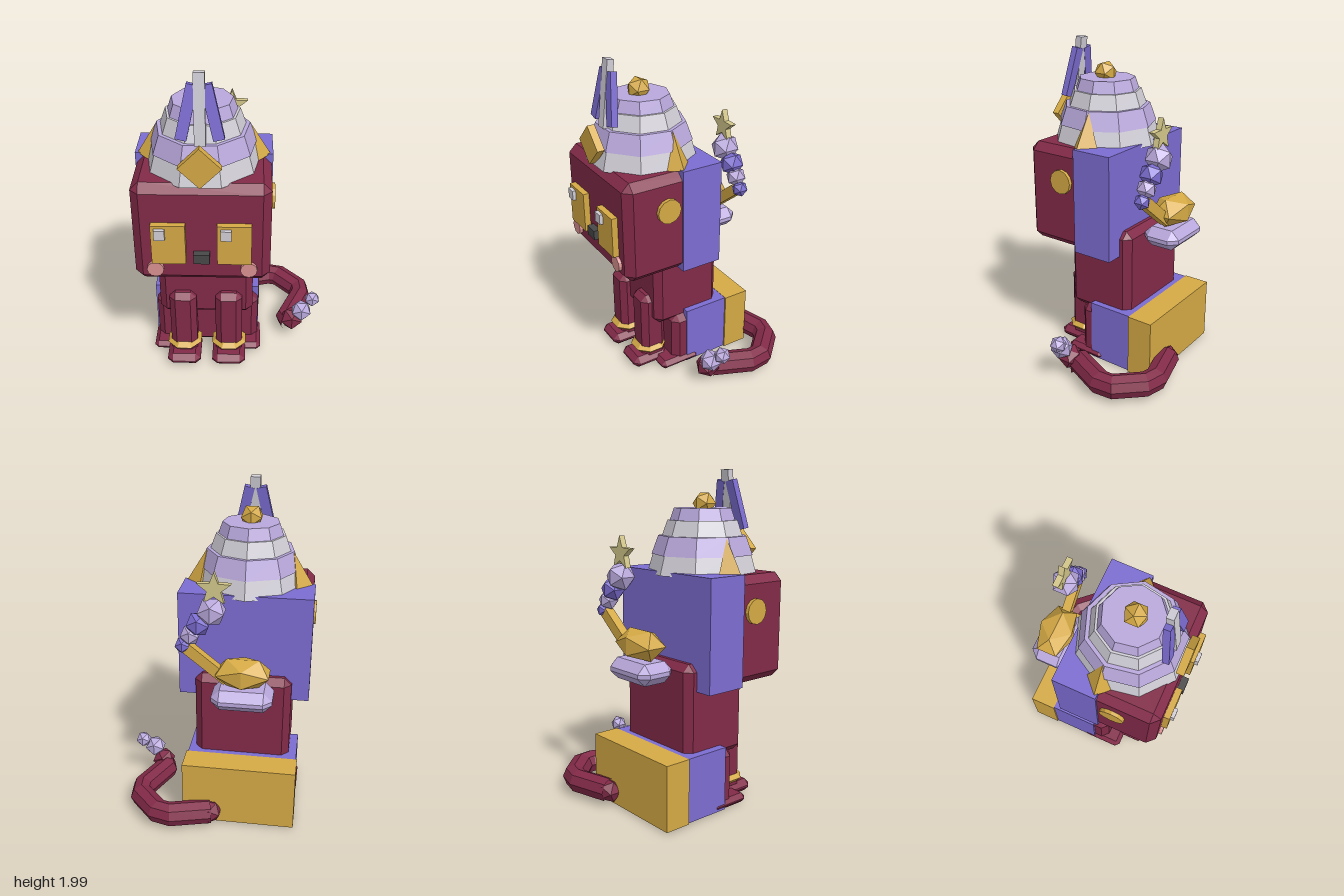
import * as THREE from 'three';
import { ConvexGeometry } from 'three/addons/geometries/ConvexGeometry.js';

const mat = (name, color) => new THREE.MeshStandardMaterial({ name, color, flatShading: true });

export function createModel() {
  const maroon = mat('maroon', 0x822a48), gold = mat('gold', 0xd4a945);
  const violet = mat('violet', 0x7b6cd0), lilac = mat('lilac', 0xb9a8dc);
  const silver = mat('silver', 0xd0cdd6), charcoal = mat('charcoal', 0x484848);
  const pink = mat('pink', 0xd99090), straw = mat('straw', 0xd2c68a);

  const root = new THREE.Group();
  const CX = -0.165; // middle of the body
  const add = (name, geo, material, x = 0, y = 0, z = 0) => {
    const m = new THREE.Mesh(geo, material);
    m.name = name;
    m.position.set(x, y, z);
    root.add(m);
    return m;
  };

  // Boxes given by their min and max corners, with an optional chamfer
  const box = (name, material, a, b, c = 0) => {
    const h = a.map((v, i) => (b[i] - v) / 2), mid = a.map((v, i) => (b[i] + v) / 2);
    let geo;
    if (c === 0) geo = new THREE.BoxGeometry(h[0] * 2, h[1] * 2, h[2] * 2);
    else {
      const pts = [];
      for (const sx of [-1, 1]) for (const sy of [-1, 1]) for (const sz of [-1, 1])
        for (let k = 0; k < 3; k++) {
          const e = h.map((v, i) => (i === k ? v : v - c));
          pts.push(new THREE.Vector3(sx * e[0], sy * e[1], sz * e[2]));
        }
      geo = new ConvexGeometry(pts);
    }
    return add(name, geo, material, ...mid);
  };
  const ball = (name, material, r, x, y, z) => add(name, new THREE.IcosahedronGeometry(r, 0), material, x, y, z);

  // Body
  box('head', maroon, [-0.55, 0.77, -0.1], [0.22, 1.4, 0.487], 0.048);
  box('torso', maroon, [-0.455, 0.33, -0.2], [0.125, 0.915, 0.25], 0.042);
  box('haunches', maroon, [-0.49, 0.002, -0.36], [0.16, 0.37, 0.145], 0.04);

  // Hood and hind cover
  box('hood', violet, [-0.56, 0.76, -0.135], [0.23, 1.412, 0.125]);
  box('hindCover', violet, [-0.505, 0.012, -0.24], [0.165, 0.4, 0.055]);
  box('hindTrim', gold, [-0.512, 0.01, -0.4], [0.175, 0.402, -0.237]);

  // Mirrored parts
  for (const s of [-1, 1]) {
    const leg = CX + s * 0.142;
    box('frontLeg', maroon, [leg - 0.083, 0.04, 0.145], [leg + 0.083, 0.52, 0.31], 0.036);
    box('frontPaw', maroon, [leg - 0.105, 0.005, 0.14], [leg + 0.105, 0.085, 0.387], 0.034);
    const band = new THREE.TorusGeometry(0.085, 0.03, 4, 8);
    band.rotateX(Math.PI / 2).rotateY(Math.PI / 8);
    add('ankleBand', band, gold, leg, 0.12, 0.235);
    const foot = CX + s * 0.25;
    box('hindFoot', maroon, [foot - 0.095, 0.005, -0.03], [foot + 0.095, 0.065, 0.24], 0.026);

    // Face
    const eye = CX + s * 0.182;
    box('eye', gold, [eye - 0.095, 0.925, 0.47], [eye + 0.095, 1.175, 0.524]);
    const glint = eye - 0.045;
    box('eyeGlint', silver, [glint - 0.03, 1.095, 0.51], [glint + 0.03, 1.157, 0.545]);
    const disc = new THREE.CylinderGeometry(0.048, 0.048, 0.03, 12).rotateX(Math.PI / 2);
    add('cheek', disc, pink, CX + s * 0.263, 0.872, 0.492);
    const stud = new THREE.CylinderGeometry(0.075, 0.075, 0.04, 12).rotateZ(Math.PI / 2);
    add('sideStud', stud, gold, CX + s * 0.387, 1.195, 0.22);

    // Hat spikes and outer plumes
    const spike = add('hatSpike', new THREE.ConeGeometry(0.09, 0.215, 4), gold, CX + s * 0.275, 1.5, 0.11);
    spike.rotation.z = s * 0.15;
    const plume = add('outerPlume', new THREE.BoxGeometry(0.062, 0.3, 0.04), violet, CX + s * 0.068, 1.785, 0.383);
    plume.rotation.set(-0.14, 0, s * 0.22);
  }
  box('nose', charcoal, [CX - 0.045, 0.93, 0.47], [CX + 0.045, 0.99, 0.53]);

  // Tiered hat: bottom y, top y, bottom radius, top radius
  const tiers = [
    [1.39, 1.51, 0.33, 0.295, silver],
    [1.5, 1.61, 0.305, 0.265, lilac],
    [1.595, 1.7, 0.248, 0.21, silver],
    [1.69, 1.77, 0.2, 0.172, lilac],
  ];
  for (const [y0, y1, r0, r1, m] of tiers) {
    const tier = new THREE.CylinderGeometry(r1, r0, y1 - y0, 9).rotateY(Math.PI);
    add('hatTier', tier, m, CX, (y0 + y1) / 2, 0.168);
  }
  ball('hatBobble', gold, 0.072, CX, 1.795, 0.178);
  add('middlePlume', new THREE.BoxGeometry(0.06, 0.39, 0.042), silver, CX, 1.8, 0.382).rotation.x = -0.12;
  add('hatDiamond', new THREE.BoxGeometry(0.165, 0.165, 0.045), gold, CX, 1.52, 0.487).rotation.z = Math.PI / 4;

  // Tail swept through straight segments
  const path = new THREE.CurvePath();
  const tailPts = [[0, -0.42], [0.24, -0.485], [0.32, -0.465], [0.455, -0.32], [0.462, -0.235], [0.36, 0.0], [0.385, 0.04]]
    .map(([x, z]) => new THREE.Vector3(x, 0.095, z));
  // One ring of the tube falls on every path point
  path.getPointAt = (t) => {
    const f = t * (tailPts.length - 1), i = Math.min(Math.floor(f), tailPts.length - 2);
    return tailPts[i].clone().lerp(tailPts[i + 1], f - i);
  };
  path.getTangentAt = (t) => {
    const i = Math.round(t * (tailPts.length - 1));
    const a = tailPts[Math.max(i - 1, 0)], b = tailPts[Math.min(i + 1, tailPts.length - 1)];
    return b.clone().sub(a).normalize();
  };
  add('tail', new THREE.TubeGeometry(path, tailPts.length - 1, 0.074, 8, false), maroon);
  ball('tailStart', maroon, 0.074, 0, 0.095, -0.42);
  ball('tailEnd', maroon, 0.078, 0.39, 0.13, 0.045);
  ball('tailTuft', lilac, 0.07, 0.45, 0.215, 0.065);
  ball('tailTip', lilac, 0.052, 0.52, 0.285, 0.03);

  // Ornament behind the back: base, bulb, handle, beads and star
  const OZ = -0.32;
  box('ornamentBase', lilac, [-0.358, 0.805, OZ - 0.12], [-0.003, 0.93, OZ + 0.12], 0.05);
  ball('ornamentBulb', gold, 1, -0.18, 1.015, OZ).scale.set(0.18, 0.1, 0.12);
  add('ornamentHandle', new THREE.BoxGeometry(0.3, 0.065, 0.055), gold, 0.025, 1.065, OZ).rotation.z = 0.68;
  const beads = [
    [0.165, 1.17, 0.05, violet], [0.122, 1.235, 0.062, lilac],
    [0.075, 1.305, 0.075, violet], [0.0, 1.385, 0.088, lilac],
  ];
  for (const [x, y, r, m] of beads) ball('ornamentBead', m, r, x, y, OZ);
  const star = new THREE.Shape();
  for (let i = 0; i < 10; i++) {
    const a = Math.PI / 2 + (i * Math.PI) / 5, r = i % 2 ? 0.042 : 0.1;
    star[i ? 'lineTo' : 'moveTo'](r * Math.cos(a), r * Math.sin(a));
  }
  const starGeo = new THREE.ExtrudeGeometry(star, { depth: 0.036, bevelEnabled: false });
  add('ornamentStar', starGeo, straw, -0.015, 1.52, OZ - 0.018);

  return root;
}
